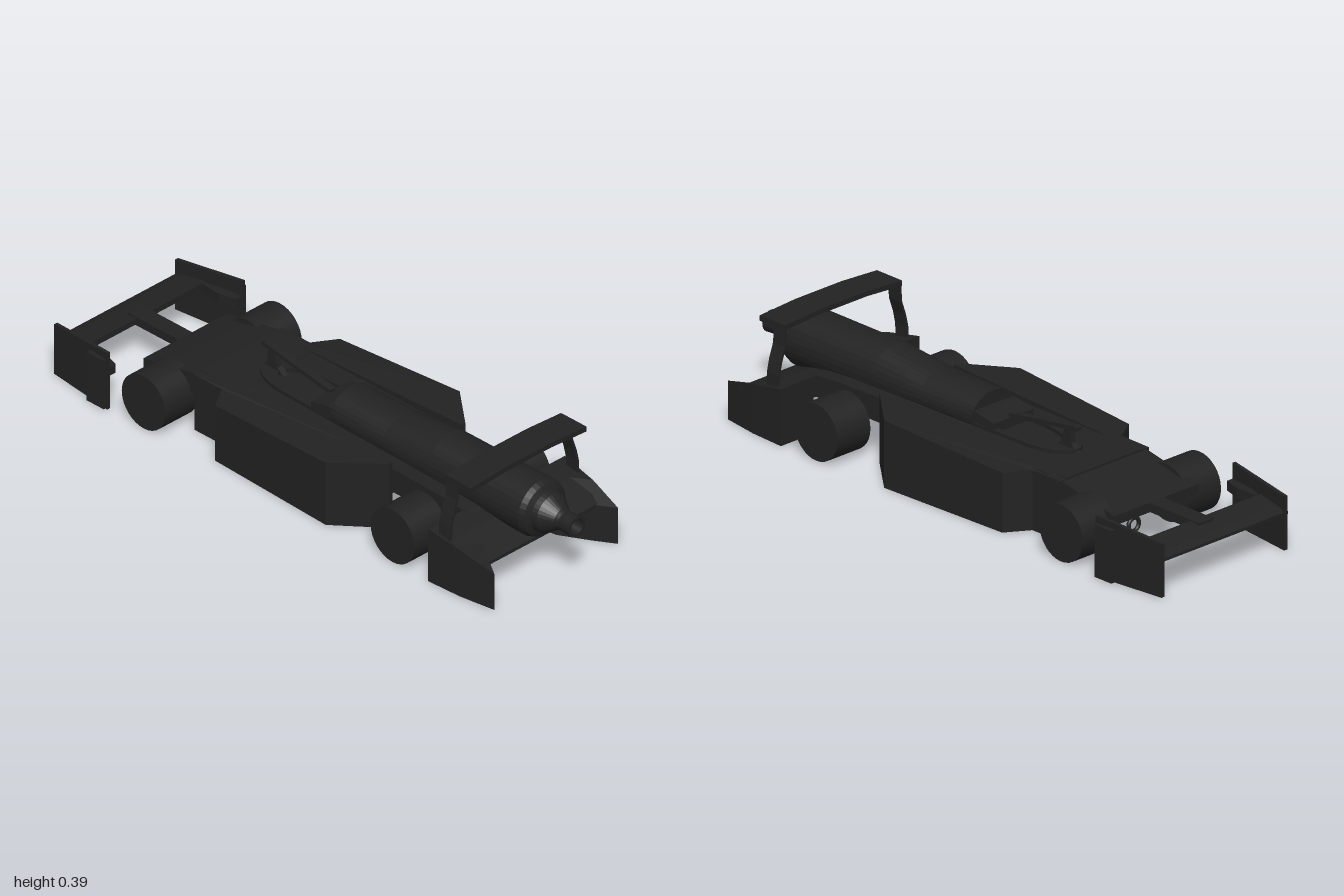
import * as THREE from 'three';

export function createModel() {
  const car = new THREE.Group();
  car.name = 'jetRaceCar';
  const paint = new THREE.MeshStandardMaterial({ color: 0x222222, side: THREE.DoubleSide });

  const add = (name, geo, x = 0, y = 0, z = 0) => {
    const m = new THREE.Mesh(geo, paint);
    m.name = name;
    m.position.set(x, y, z);
    car.add(m);
    return m;
  };
  const box = (name, x0, x1, y0, y1, z0, z1) =>
    add(name, new THREE.BoxGeometry(x1 - x0, y1 - y0, Math.abs(z1 - z0)),
      (x0 + x1) / 2, (y0 + y1) / 2, (z0 + z1) / 2);
  const shapeOf = pts => new THREE.Shape(pts.map(p => new THREE.Vector2(p[0], p[1])));
  const extrude = (shape, depth) =>
    new THREE.ExtrudeGeometry(shape, { depth, bevelEnabled: false, curveSegments: 10 });
  // Outline in x,z raised from y0 to y1
  const plan = (pts, y0, y1) => extrude(shapeOf(pts), y1 - y0).rotateX(Math.PI / 2).translate(0, y1, 0);
  // Outline in x,y spread evenly across z
  const profile = (pts, halfWidth) => extrude(shapeOf(pts), halfWidth * 2).translate(0, 0, -halfWidth);
  // Moves the top of a geometry to a height given by x
  const slopeTop = (geo, yMid, rule) => {
    const p = geo.attributes.position;
    for (let i = 0; i < p.count; i++) if (p.getY(i) > yMid) p.setY(i, rule(p.getX(i)));
    geo.computeVertexNormals();
    return geo;
  };

  // Central body with a sloping nose
  add('nose', profile([[-0.7, 0.12], [-0.47, 0.12], [-0.3, 0.12], [-0.3, 0.205],
    [-0.4, 0.203], [-0.48, 0.195], [-0.6, 0.172], [-0.7, 0.152]], 0.18));
  box('body', -0.47, 0.35, 0.12, 0.203, -0.16, 0.16);
  add('rearBody', profile([[0.35, 0.12], [0.8, 0.12], [0.8, 0.15], [0.66, 0.19], [0.55, 0.2], [0.35, 0.203]], 0.145));
  add('rearDeck', profile([[0.65, 0.12], [0.85, 0.12], [0.85, 0.132], [0.8, 0.15], [0.73, 0.175], [0.65, 0.19]], 0.28));

  // Cockpit surround and headrest
  const loop = (x0, x1, w) => {
    const s = new THREE.Shape();
    s.moveTo(x1, -w);
    s.lineTo(x0 + 0.14, -w * 0.92);
    s.bezierCurveTo(x0 - 0.04, -w * 0.75, x0 - 0.04, w * 0.75, x0 + 0.14, w * 0.92);
    s.lineTo(x1, w);
    s.closePath();
    return s;
  };
  const rim = loop(-0.36, 0.03, 0.088);
  rim.holes.push(loop(-0.29, 0.0, 0.066));
  add('cockpitRim', extrude(rim, 0.03).rotateX(Math.PI / 2).translate(0, 0.215, 0));
  add('headrest', profile([[-0.07, 0.2], [0.04, 0.2], [0.04, 0.25], [0, 0.25], [-0.07, 0.235]], 0.085));

  // Windscreen bar on its central post
  add('cockpitBar', profile([[-0.36, 0.278], [-0.36, 0.29], [-0.345, 0.292], [-0.06, 0.247], [-0.06, 0.232], [-0.29, 0.27]], 0.012));
  add('cockpitPost', profile([[-0.36, 0.2], [-0.26, 0.2], [-0.29, 0.225], [-0.305, 0.275], [-0.33, 0.28], [-0.335, 0.23]], 0.01));

  // Jet engine: elliptical cover, then a rounded tail and nozzle
  const rings = [[0.02, 0.001, 0.001], [0.02, 0.073, 0.09], [0.25, 0.073, 0.094], [0.33, 0.082, 0.096],
    [0.45, 0.096, 0.097], [0.84, 0.097, 0.097], [0.86, 0.09, 0.09], [0.87, 0.07, 0.07], [0.89, 0.066, 0.066],
    [0.935, 0.036, 0.036], [0.95, 0.033, 0.033], [1, 0.036, 0.036], [1, 0.026, 0.026], [0.96, 0.022, 0.022], [0.96, 0.001, 0.001]];
  const sides = 32, pos = [], idx = [];
  rings.forEach(([x, ry, rz], i) => {
    for (let j = 0; j <= sides; j++) {
      const a = j / sides * Math.PI * 2;
      pos.push(x, 0.222 + ry * Math.cos(a), rz * Math.sin(a));
      if (i && j < sides) {
        const b = i * (sides + 1) + j, c = b - sides - 1;
        idx.push(c, c + 1, b, c + 1, b + 1, b);
      }
    }
  });
  let engine = new THREE.BufferGeometry();
  engine.setAttribute('position', new THREE.Float32BufferAttribute(pos, 3));
  engine.setIndex(idx);
  engine = engine.toNonIndexed();
  engine.computeVertexNormals();
  add('jetEngine', engine);

  // Front wing and its arm
  add('frontWing', profile([[-1, 0.118], [-0.88, 0.128], [-0.88, 0.148], [-0.97, 0.138], [-1, 0.128]], 0.27));
  box('frontWingArm', -0.92, -0.68, 0.122, 0.152, -0.03, 0.03);

  // Arched upper rear wing
  const wing = new THREE.Shape();
  wing.moveTo(-0.25, 0.362);
  [[-0.25, 0.38], [-0.1, 0.389], [0.1, 0.389], [0.25, 0.38], [0.25, 0.362], [0.1, 0.372], [-0.1, 0.372]]
    .forEach(p => wing.lineTo(p[0], p[1]));
  add('upperRearWing', extrude(wing, 0.11).rotateY(Math.PI / 2), 0.68, 0, 0);

  for (const s of [1, -1]) {
    const side = s > 0 ? 'Left' : 'Right';
    const flip = pts => pts.map(([x, z]) => [x, z * s]);

    // Side pods rising toward the rear
    add('sidePod' + side, slopeTop(plan(flip([[-0.47, 0.15], [-0.47, 0.19], [-0.35, 0.19], [-0.3, 0.27],
      [0.2, 0.29], [0.35, 0.165], [0.35, 0.15]]), 0, 0.2), 0.1, x => 0.2 + Math.max(0, x + 0.3) * 0.05));

    // Wheels with axles and inner bolts
    for (const [end, x] of [['front', -0.585], ['rear', 0.495]]) {
      add(end + 'Wheel' + side, new THREE.CylinderGeometry(0.095, 0.095, 0.14, 32).rotateX(Math.PI / 2), x, 0.095, s * 0.225);
      for (let k = 0; k < 4; k++)
        add(end + 'WheelBolt' + side, new THREE.BoxGeometry(0.015, 0.015, 0.01), x, 0.02 + k * 0.027, s * 0.152);
    }

    // Front wing end plates with a rounded outer panel
    const plate = plan(flip([[-1, 0.255], [-1, 0.268], [-0.74, 0.298], [-0.74, 0.286]]), 0, 0.18);
    add('frontEndPlate' + side, slopeTop(plate, 0.1, x => 0.18 + (x + 1) * 0.09));
    box('outerPanel' + side, -0.82, -0.745, 0.003, 0.178, s * 0.29, s * 0.308);
    add('innerTurningVane' + side, plan(flip([[-0.88, 0.25], [-0.8, 0.245], [-0.74, 0.262],
      [-0.74, 0.29], [-0.8, 0.285], [-0.88, 0.26]]), 0.118, 0.15));

    // Rear end plates
    add('rearEndPlate' + side, slopeTop(plan(flip([[0.65, 0.155], [0.65, 0.295], [0.78, 0.288], [0.91, 0.268],
      [0.84, 0.225], [0.74, 0.17]]), 0, 0.13), 0.1, x => x < 0.7 ? 0.19 : x < 0.8 ? 0.165 : 0.13));

    // Curved rear wing pillars
    const outer = [[0.28, 0.17], [0.277, 0.22], [0.268, 0.26], [0.251, 0.31], [0.247, 0.37]];
    const inner = outer.map(([z, y]) => [z - 0.008, y]).reverse();
    add('wingPillar' + side, extrude(shapeOf(outer.concat(inner).map(([z, y]) => [-z * s, y])), 0.05)
      .rotateY(Math.PI / 2), 0.68, 0, 0);
  }

  // Guide rings hung below the body
  for (const x of [-0.6, 0.45]) {
    add('guideRing', new THREE.TorusGeometry(0.022, 0.007, 10, 28).rotateY(Math.PI / 2), x, 0.04, 0);
    add('guideRod', new THREE.CylinderGeometry(0.006, 0.006, 0.06, 10), x, 0.096, 0);
  }
  return car;
}
